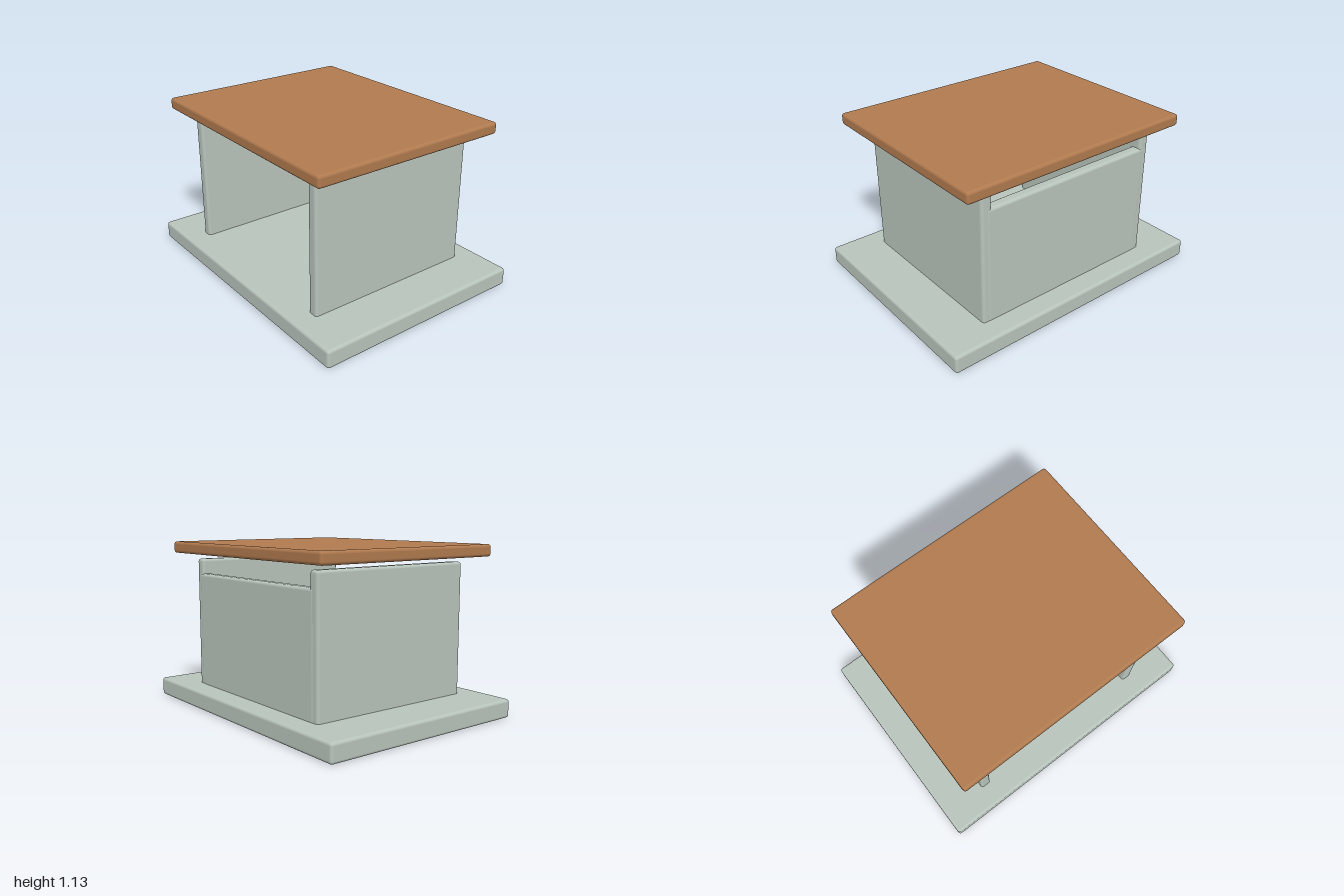
import * as THREE from 'three';
import { RoundedBoxGeometry } from 'three/addons/geometries/RoundedBoxGeometry.js';

export function createModel() {
  const model = new THREE.Group();
  model.name = 'shelter';

  const stone = new THREE.MeshStandardMaterial({ color: 0xb8c4bb });
  stone.name = 'pale grey green';
  const clay = new THREE.MeshStandardMaterial({ color: 0xb07a4f });
  clay.name = 'clay brown';

  // Soft-edged slab given by its lowest y and its centre in x and z
  function slab(name, material, [w, h, d], [x, bottom, z], radius = 0.02) {
    const mesh = new THREE.Mesh(new RoundedBoxGeometry(w, h, d, 4, radius), material);
    mesh.name = name;
    mesh.position.set(x, bottom + h / 2, z);
    model.add(mesh);
  }

  // Floor
  slab('base', stone, [2, 0.125, 1.5], [0, 0, 0]);

  // Side walls, sunk slightly into the floor
  for (const [side, name] of [[1, 'leftWall'], [-1, 'rightWall']]) {
    slab(name, stone, [0.075, 0.913, 1.2], [side * 0.65, 0.1, 0]);
  }

  // Lower back wall, ending inside the side walls
  slab('backWall', stone, [1.3, 0.81, 0.075], [0, 0.1, -0.565]);

  // Flat roof floating just above the walls
  slab('roof', clay, [1.7, 0.08, 1.4], [0, 1.05, 0]);

  return model;
}
